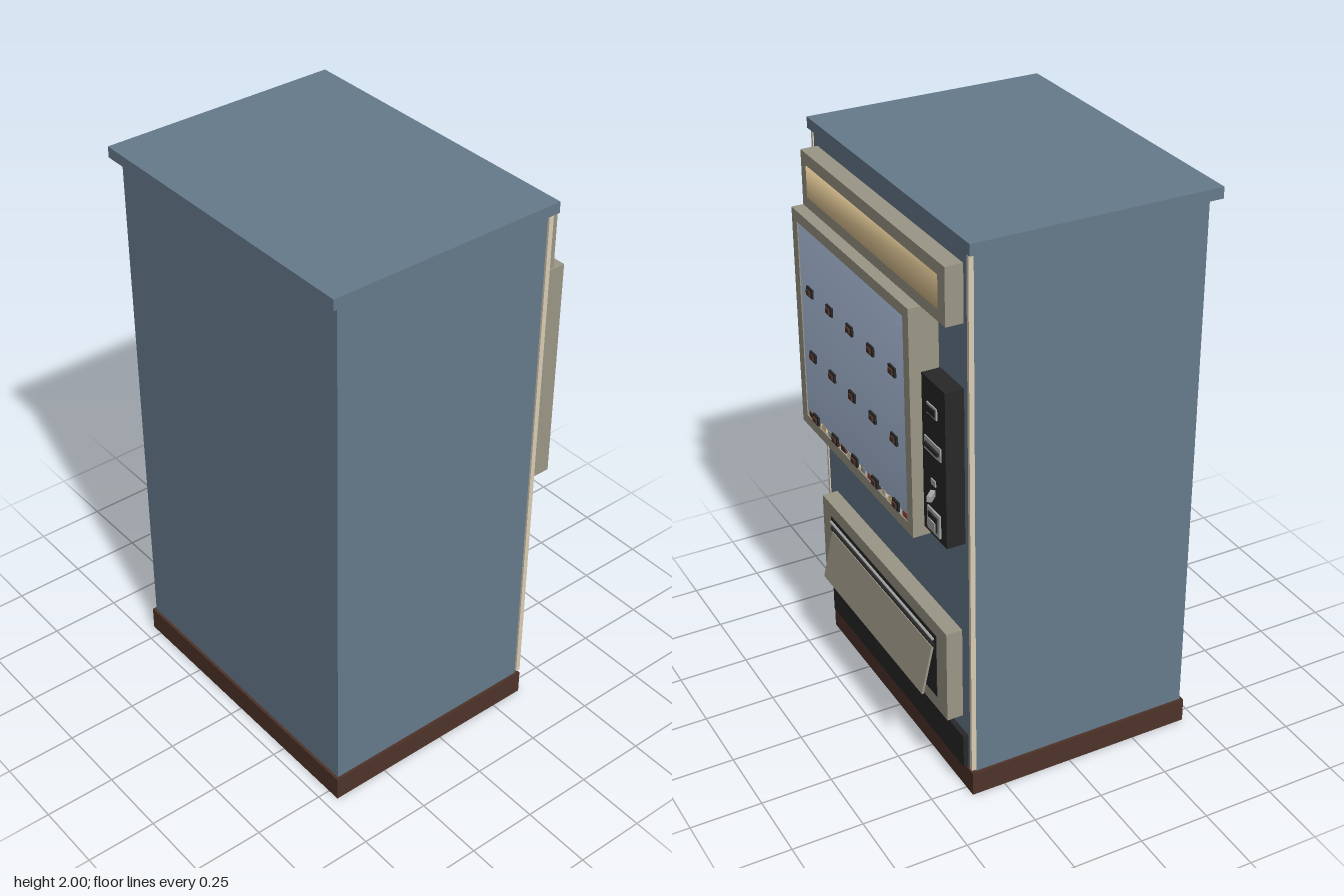
import * as THREE from 'three';
import { mergeVertices } from 'three/addons/utils/BufferGeometryUtils.js';

export function createModel() {
  const root = new THREE.Group();
  const mat = (name, color) => {
    const m = new THREE.MeshStandardMaterial({ color });
    m.name = name;
    return m;
  };
  const blue = mat('cabinet blue', 0x667a8c);
  const brown = mat('plinth brown', 0x4e3329);
  const stone = mat('frame stone', 0x9b9686);
  const cream = mat('trim cream', 0xd9cdb4);
  const black = mat('black', 0x282828);
  const glass = mat('window blue', 0xb4c8e6);
  const glow = mat('sign amber', 0xecd09c);
  const silver = mat('metal grey', 0xa6a8a6);
  const red = mat('snack red', 0x9c4a36);

  // Box given by its limits on each axis; soft boxes share their corner normals
  function box(name, m, [x0, x1], [y0, y1], [z0, z1], parent = root, soft = false) {
    let g = new THREE.BoxGeometry(x1 - x0, y1 - y0, z1 - z0);
    if (soft) {
      g.deleteAttribute('uv');
      g.deleteAttribute('normal');
      g = mergeVertices(g);
      g.computeVertexNormals();
    }
    const mesh = new THREE.Mesh(g, m);
    mesh.name = name;
    mesh.position.set((x0 + x1) / 2, (y0 + y1) / 2, (z0 + z1) / 2);
    parent.add(mesh);
    return mesh;
  }
  // Rectangular frame from two rails and two posts
  function frame(name, m, [x0, x1], [y0, y1], z, side, rail) {
    const g = new THREE.Group();
    g.name = name;
    box('bottomRail', m, [x0, x1], [y0, y0 + rail], z, g);
    box('topRail', m, [x0, x1], [y1 - rail, y1], z, g);
    box('post', m, [x0, x0 + side], [y0 + rail, y1 - rail], z, g);
    box('post', m, [x1 - side, x1], [y0 + rail, y1 - rail], z, g);
    root.add(g);
  }
  const rod = (name, m, r, length, x, y, z) => {
    const mesh = new THREE.Mesh(new THREE.CylinderGeometry(r, r, length, 12), m);
    mesh.name = name;
    mesh.rotation.z = Math.PI / 2;
    mesh.position.set(x, y, z);
    root.add(mesh);
    return mesh;
  };

  // Cabinet
  box('plinth', brown, [-0.545, 0.545], [0, 0.088], [-0.37, 0.455]);
  box('cabinet', blue, [-0.535, 0.535], [0.088, 1.96], [-0.355, 0.445]);
  box('roof', blue, [-0.56, 0.56], [1.962, 2], [-0.377, 0.477]);
  box('door', blue, [-0.53, 0.53], [0.1, 1.96], [-0.368, -0.355]);
  for (const s of [-1, 1])
    box('edgeTrim', cream, [s * 0.536 - 0.006, s * 0.536 + 0.006], [0.1, 1.96], [-0.372, -0.355]);
  box('kickPlate', black, [-0.512, 0.512], [0.1, 0.225], [-0.386, -0.368]);

  // Lit sign
  frame('signFrame', stone, [-0.503, 0.503], [1.727, 1.918], [-0.428, -0.368], 0.045, 0.042);
  box('signPanel', glow, [-0.458, 0.458], [1.769, 1.876], [-0.432, -0.38], root, true);

  // Display window
  frame('windowFrame', stone, [-0.342, 0.508], [0.928, 1.725], [-0.468, -0.368], 0.038, 0.038);
  box('windowPane', glass, [-0.304, 0.47], [0.985, 1.687], [-0.464, -0.38], root, true);
  box('shelf', black, [-0.304, 0.47], [0.966, 0.985], [-0.455, -0.38]);
  const snacks = [red, cream, silver, brown, glow];
  for (let i = 0; i < 15; i++) {
    const x = -0.28 + i * 0.0515;
    box('snack', snacks[(i * 2) % 5], [x - 0.016, x + 0.016], [0.967, 0.988], [-0.465, -0.45]);
  }

  // Price tags in three rows of five
  for (const y of [1.465, 1.225, 0.985])
    for (let i = 0; i < 5; i++) {
      const x = -0.222 + i * 0.1535;
      box('priceTag', black, [x - 0.022, x + 0.022], [y - 0.016, y + 0.016], [-0.471, -0.463]);
      box('priceTagFace', brown, [x - 0.012, x + 0.012], [y - 0.009, y + 0.009], [-0.477, -0.471]);
    }

  // Payment panel
  box('paymentPanel', black, [-0.502, -0.35], [0.968, 1.512], [-0.432, -0.368]);
  box('displayPlate', silver, [-0.452, -0.388], [1.395, 1.433], [-0.436, -0.432]);
  box('displayScreen', black, [-0.445, -0.395], [1.402, 1.426], [-0.439, -0.436]);
  box('billPlate', silver, [-0.475, -0.367], [1.262, 1.308], [-0.436, -0.432]);
  box('billSlot', black, [-0.466, -0.376], [1.279, 1.291], [-0.444, -0.436]);
  box('coinPlate', silver, [-0.437, -0.408], [1.155, 1.175], [-0.436, -0.432]);
  const lever = box('coinLever', silver, [-0.465, -0.425], [1.125, 1.145], [-0.462, -0.446]);
  lever.rotation.y = -Math.PI / 4;
  box('coinReturn', silver, [-0.466, -0.382], [0.985, 1.065], [-0.438, -0.432]);
  box('coinReturnCup', black, [-0.453, -0.395], [1.0, 1.052], [-0.442, -0.438]);
  box('coinReturnFlap', silver, [-0.446, -0.402], [1.0, 1.032], [-0.445, -0.442]);

  // Delivery bay with a tilted flap hung from a rod
  frame('bayFrame', stone, [-0.475, 0.475], [0.283, 0.625], [-0.425, -0.368], 0.07, 0.05);
  box('bayOpening', black, [-0.405, 0.405], [0.333, 0.575], [-0.427, -0.38]);
  rod('hingeRod', silver, 0.005, 0.79, 0, 0.56, -0.433);
  rod('brushRod', black, 0.006, 0.79, 0, 0.535, -0.43);
  const flap = box('deliveryFlap', stone, [-0.386, 0.386], [0.345, 0.525], [-0.453, -0.445]);
  flap.rotation.x = 0.22;

  return root;
}
